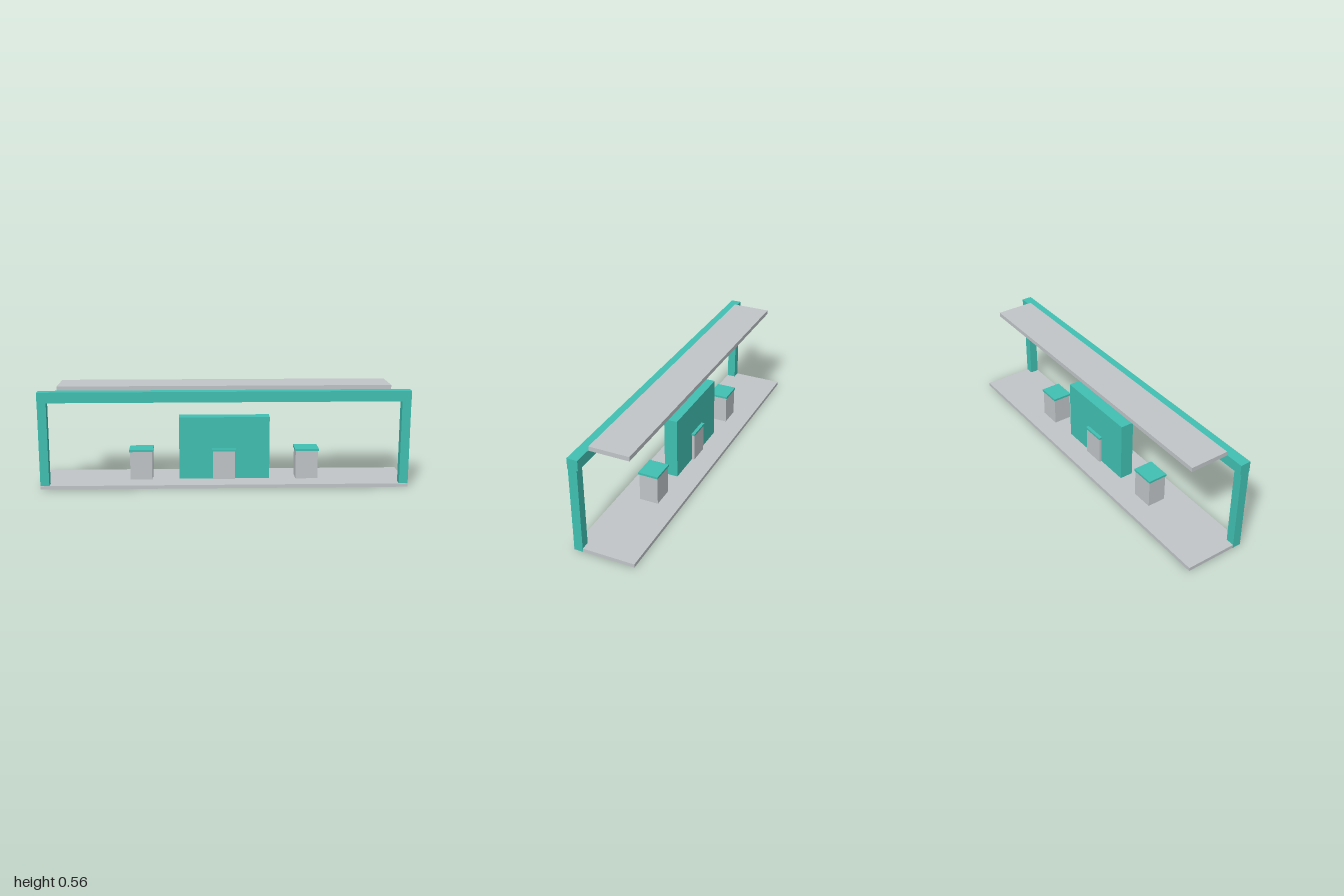
import * as THREE from 'three';

export function createModel() {
  const model = new THREE.Group();
  model.name = 'shelter';
  const teal = new THREE.MeshStandardMaterial({ color: 0x40c0b2 });
  teal.name = 'teal paint';
  const grey = new THREE.MeshStandardMaterial({ color: 0xc1c5c8 });
  grey.name = 'light grey';

  // Box from its centre x/z, its width/depth and its bottom and top heights
  function block(name, material, x, z, width, depth, bottom, top, parent = model) {
    const mesh = new THREE.Mesh(new THREE.BoxGeometry(width, top - bottom, depth), material);
    mesh.name = name;
    mesh.position.set(x, (bottom + top) / 2, z);
    parent.add(mesh);
    return mesh;
  }

  // Platform and floating roof slab
  block('platform', grey, 0, 0, 1.999, 0.334, 0.0005, 0.02);
  block('roof', grey, 0, 0, 1.8, 0.216, 0.532, 0.556);

  // Front portal frame: two posts carrying a beam
  for (const side of [-1, 1]) {
    block(side > 0 ? 'leftPost' : 'rightPost', teal, side * 0.976, 0.141, 0.048, 0.048, 0, 0.478);
  }
  block('beam', teal, 0, 0.139, 2, 0.058, 0.477, 0.534);

  // Central wall panel
  block('centrePanel', teal, 0, 0, 0.5, 0.075, 0.01, 0.368);

  // Three pedestals with overhanging caps
  const pedestals = { rightPedestal: -0.46, centrePedestal: -0.003, leftPedestal: 0.457 };
  for (const [name, x] of Object.entries(pedestals)) {
    const pedestal = new THREE.Group();
    pedestal.name = name;
    pedestal.position.x = x;
    block('pedestalBody', grey, 0, 0, 0.123, 0.104, 0.01, 0.178, pedestal);
    block('pedestalCap', teal, 0, 0, 0.132, 0.112, 0.178, 0.19, pedestal);
    model.add(pedestal);
  }

  return model;
}
